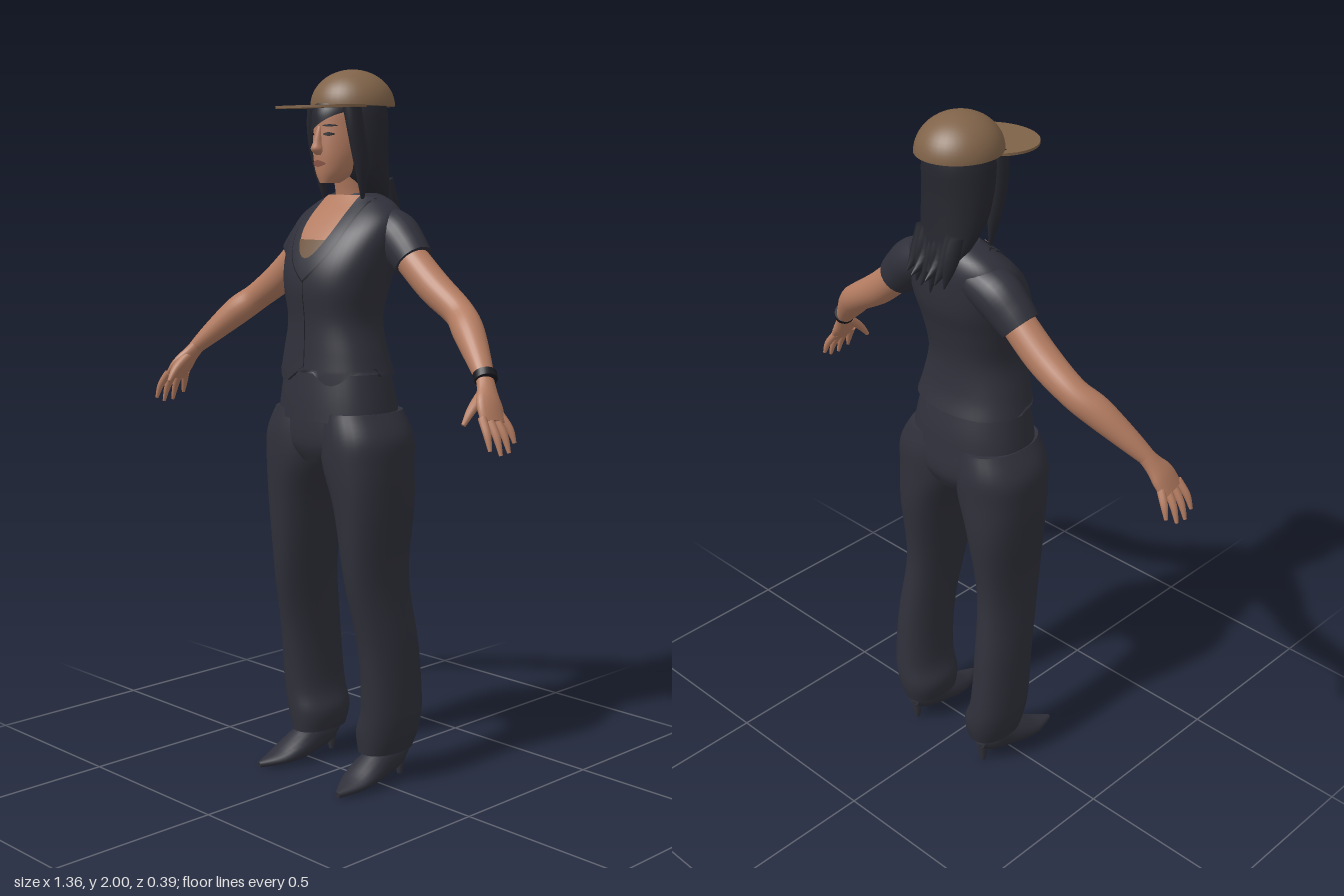
import * as THREE from 'three';

const mat = (name, color, side = THREE.FrontSide) => {
  const m = new THREE.MeshStandardMaterial({ color, side });
  m.name = name;
  return m;
};
const CLOTH = mat('dark cloth', 0x2f303a);
const SEAM = mat('seam black', 0x1a1b21);
const HAIR = mat('black hair', 0x26272f);
const SKIN = mat('skin', 0xb47c61);
const HAT = mat('brown cap', 0x806349);
const UNDER = mat('brown undershirt', 0x6f553f);
const LIPS = mat('lips', 0x8a5546);

// Smooth a short table of rows [x, y, z, r1, r2] into n + 1 rows
function smooth(rows, n) {
  const curves = rows[0].map((_, k) => new THREE.SplineCurve(rows.map(r => new THREE.Vector2(r[k], 0))));
  return Array.from({ length: n + 1 }, (_, i) => curves.map(c => c.getPoint(i / n).x));
}

// Skin elliptical sections; 'flat' keeps them horizontal, otherwise they follow the path
function loft(name, material, rows, { n = 24, seg = 24, flat = false, exp = 2, ref = [0, 0, 1], caps = true } = {}) {
  const R = smooth(rows, n), pos = [], idx = [], rv = new THREE.Vector3(...ref);
  const at = i => new THREE.Vector3().fromArray(R[Math.min(Math.max(i, 0), n)]);
  const pw = v => Math.sign(v) * Math.abs(v) ** (2 / exp);
  const ring = i => {
    const t = flat ? new THREE.Vector3(0, 1, 0) : at(i + 1).sub(at(i - 1)).normalize();
    const u = new THREE.Vector3().crossVectors(t, rv).normalize();
    const v = new THREE.Vector3().crossVectors(u, t);
    for (let j = 0; j < seg; j++) {
      const a = (j / seg) * Math.PI * 2;
      const p = at(i).addScaledVector(u, pw(Math.cos(a)) * R[i][3]).addScaledVector(v, pw(Math.sin(a)) * R[i][4]);
      pos.push(p.x, p.y, p.z);
    }
  };
  for (let i = 0; i <= n; i++) ring(i);
  for (let i = 0; i < n; i++) for (let j = 0; j < seg; j++) {
    const a = i * seg + j, b = i * seg + (j + 1) % seg;
    idx.push(a, a + seg, b, b, a + seg, b + seg);
  }
  if (caps) for (const i of [0, n]) {
    const s = pos.length / 3;
    ring(i);
    pos.push(...R[i].slice(0, 3));
    for (let j = 0; j < seg; j++) {
      const a = s + j, b = s + (j + 1) % seg;
      idx.push(s + seg, ...(i ? [b, a] : [a, b]));
    }
  }
  return finish(name, material, pos, idx);
}

function finish(name, material, pos, idx) {
  const g = new THREE.BufferGeometry();
  g.setAttribute('position', new THREE.Float32BufferAttribute(pos, 3));
  g.setIndex(idx);
  g.computeVertexNormals();
  return named(name, new THREE.Mesh(g, material));
}
function named(name, o) { o.name = name; return o; }

// Thin plate lying on the front of a flat loft, between x = left(t) and right(t)
function patch(name, material, rows, exp, y0, y1, left, right, off) {
  const R = smooth(rows, 60), N = 16, pos = [], idx = [];
  for (let i = 0; i <= N; i++) for (let j = 0; j <= N; j++) {
    const t = i / N, y = y0 + (y1 - y0) * t, x = left(t) + (right(t) - left(t)) * j / N;
    const k = Math.max(1, R.findIndex(r => r[1] >= y)), a = R[k - 1], b = R[k];
    const f = (y - a[1]) / (b[1] - a[1]), mix = c => a[c] + (b[c] - a[c]) * f;
    const q = Math.min(Math.abs(x) / mix(3), 0.98);
    pos.push(x, y, mix(2) + mix(4) * (1 - q ** exp) ** (1 / exp) + off);
    if (i < N && j < N) {
      const p = i * (N + 1) + j, s = p + N + 1;
      idx.push(p, p + 1, s, p + 1, s + 1, s);
    }
  }
  return finish(name, material, pos, idx);
}

const VEST = [[0, 1.17, .012, .174, .13], [0, 1.23, .018, .158, .12], [0, 1.32, .02, .137, .116],
  [0, 1.41, .016, .153, .128], [0, 1.48, 0, .168, .131], [0, 1.55, -.022, .178, .116],
  [0, 1.6, -.043, .17, .095], [0, 1.638, -.058, .13, .07], [0, 1.665, -.06, .07, .048]];
const HEAD = [[0, 1.692, .042, .022, .03], [0, 1.72, .02, .046, .06], [0, 1.76, .004, .062, .08],
  [0, 1.8, -.01, .07, .094], [0, 1.84, -.02, .073, .102], [0, 1.88, -.025, .073, .105], [0, 1.91, -.03, .068, .098]];

function buildTorso(g) {
  g.add(loft('tunic', CLOTH, [[0, 1.045, .008, .186, .137], [0, 1.12, .01, .174, .129], [0, 1.25, .018, .145, .105]],
    { n: 10, seg: 40, flat: true, exp: 2.3 }));
  const vest = loft('vest', CLOTH, VEST, { n: 40, seg: 48, flat: true, exp: 2.3 });
  // Pointed hem at the front of the vest
  const p = vest.geometry.attributes.position;
  for (let i = 0; i < p.count; i++) {
    if (p.getY(i) < 1.175 && p.getZ(i) > .02) p.setY(i, 1.17 + .024 * Math.cos(Math.PI * p.getX(i) / .09));
  }
  vest.geometry.computeVertexNormals();
  g.add(vest);
  // Round neckline: lapel, seam, chest and undershirt
  const u = (w, k = 3) => [t => -w * (1 - (1 - t) ** k), t => w * (1 - (1 - t) ** k)];
  g.add(patch('lapelSeam', SEAM, VEST, 2.3, 1.424, 1.652, ...u(.102), .003));
  g.add(patch('lapel', CLOTH, VEST, 2.3, 1.43, 1.654, ...u(.098), .005));
  g.add(patch('chest', SKIN, VEST, 2.3, 1.49, 1.66, ...u(.064, 4), .008));
  g.add(patch('undershirt', UNDER, VEST, 2.3, 1.49, 1.54, t => -.05 * t ** .5, t => .05 * t ** .5, .0095));
  g.add(patch('vestSeam', SEAM, VEST, 2.3, 1.195, 1.43, () => -.0015, () => .0015, .002));
}

function buildHead(g) {
  g.add(loft('neck', SKIN, [[0, 1.6, -.055, .058, .052], [0, 1.66, -.046, .047, .046], [0, 1.74, -.03, .045, .048]], { n: 8, flat: true }));
  g.add(loft('head', SKIN, HEAD, { n: 28, seg: 36, flat: true }));
  g.add(loft('nose', SKIN, [[0, 1.768, .082, .009, .008], [0, 1.782, .087, .016, .021], [0, 1.803, .083, .011, .018], [0, 1.845, .078, .007, .008]],
    { n: 10, seg: 12, flat: true }));
  g.add(patch('lips', LIPS, HEAD, 2, 1.735, 1.755, t => -.024 * Math.sin(Math.PI * t), t => .024 * Math.sin(Math.PI * t), .004));
  for (const s of [-1, 1]) {
    const lens = (c, w) => [t => s * c - w * Math.sin(Math.PI * t), t => s * c + w * Math.sin(Math.PI * t)];
    g.add(patch('eye', SEAM, HEAD, 2, 1.818, 1.829, ...lens(.031, .014), .003));
    g.add(patch('eyebrow', HAIR, HEAD, 2, 1.843, 1.85, ...lens(.032, .018), .003));
    // Side locks
    g.add(loft('sideLock', HAIR, [[s * .07, 1.9, .025, .02, .03], [s * .08, 1.83, .018, .016, .03],
      [s * .082, 1.74, 0, .015, .024], [s * .076, 1.65, -.01, .003, .006]], { n: 14, seg: 12 }));
  }
  g.add(patch('fringe', HAIR, HEAD, 2, 1.8, 1.905, () => -.073, t => -.069 + .138 * Math.min(1, t * 1.2) ** 1.1, .008));
  g.add(loft('hair', HAIR, [[0, 1.6, -.125, .055, .038], [0, 1.66, -.098, .08, .052], [0, 1.72, -.068, .094, .077],
    [0, 1.8, -.05, .1, .092], [0, 1.87, -.046, .099, .097], [0, 1.91, -.046, .092, .092]], { n: 20, seg: 32, flat: true }));
  // Ragged ends down the back
  for (let i = 0; i < 8; i++) {
    const x = (i - 3.5) * .017, low = 1.535 + .02 * (i % 3) + Math.abs(x) * .5, out = -.155 - .017 * (i % 3);
    g.add(loft('hairEnd', HAIR, [[x, 1.7, -.115, .02, .025], [x + .004, 1.63, -.138, .019, .022], [x + .01, low, out, .002, .002]],
      { n: 8, seg: 8 }));
  }
}

function buildCap(g) {
  const dome = named('capDome', new THREE.Mesh(new THREE.SphereGeometry(1, 40, 14, 0, Math.PI * 2, 0, Math.PI / 2), HAT));
  dome.scale.set(.113, .1, .121);
  dome.position.set(0, 1.9, -.046);
  const base = named('capBase', new THREE.Mesh(new THREE.CylinderGeometry(1, 1, 1, 40), HAT));
  base.scale.set(.111, .006, .119);
  base.position.set(0, 1.903, -.046);
  const visor = named('capVisor', new THREE.Mesh(new THREE.CylinderGeometry(1, 1, 1, 40), HAT));
  visor.scale.set(.127, .007, .12);
  visor.position.set(0, 1.897, .075);
  visor.rotation.x = .03;
  g.add(dome, base, visor);
}

function buildArm(s) {
  const g = named(s > 0 ? 'leftArm' : 'rightArm', new THREE.Group());
  const add = (name, m, rows, o) => g.add(loft(name, m, rows.map(([x, ...r]) => [s * x, ...r]), o));
  add('sleeve', CLOTH, [[.09, 1.58, -.065, .055, .065], [.15, 1.553, -.062, .066, .066], [.195, 1.515, -.058, .063, .06], [.227, 1.484, -.055, .057, .055]], { n: 14 });
  add('armSkin', SKIN, [[.19, 1.515, -.055, .046, .046], [.3, 1.422, -.053, .046, .046], [.4, 1.357, -.046, .041, .041],
    [.46, 1.312, -.018, .042, .042], [.53, 1.247, .02, .032, .033], [.577, 1.2, .047, .022, .025]], { n: 30 });
  add('palm', SKIN, [[.57, 1.208, .043, .021, .024], [.592, 1.178, .058, .02, .029], [.614, 1.145, .074, .019, .042], [.638, 1.105, .085, .012, .043]], { n: 12, seg: 16 });
  // Four fingers and a thumb
  const len = [.85, 1, .97, .75];
  for (let f = 0; f < 4; f++) {
    const z = .119 - f * .023, dz = .014 - f * .01, l = len[f];
    add('finger', SKIN, [[.63, 1.118, z, .011, .012], [.63 + .03 * l, 1.118 - .045 * l, z + dz * .7, .01, .01],
      [.63 + .047 * l, 1.118 - .092 * l, z + dz, .005, .005]], { n: 8, seg: 10 });
  }
  add('thumb', SKIN, [[.592, 1.172, .075, .014, .016], [.594, 1.135, .118, .012, .013], [.592, 1.098, .146, .006, .006]], { n: 8, seg: 10, ref: [1, 0, 0] });
  if (s > 0) add('bracelet', SEAM, [[.568, 1.217, .04, .03, .032], [.58, 1.202, .048, .029, .031]], { n: 2 });
  return g;
}

function buildLeg(s) {
  const g = named(s > 0 ? 'leftLeg' : 'rightLeg', new THREE.Group());
  const add = (name, m, rows, o) => g.add(loft(name, m, rows.map(([x, ...r]) => [s * x, ...r]), o));
  add('trouserLeg', CLOTH, [[.138, .09, -.045, .059, .09], [.143, .15, -.049, .074, .1], [.16, .23, -.047, .066, .101],
    [.16, .4, -.032, .061, .102], [.145, .6, 0, .06, .111], [.135, .8, 0, .085, .13], [.116, .92, .004, .112, .136],
    [.11, 1, .004, .115, .136], [.095, 1.07, .006, .09, .125]], { n: 40, seg: 32, flat: true, exp: 2.2 });
  add('shoe', CLOTH, [[.143, .078, -.115, .022, .025], [.143, .075, -.075, .041, .045], [.145, .062, -.02, .044, .05],
    [.148, .04, .045, .052, .036], [.155, .022, .105, .042, .02], [.165, .011, .172, .008, .009]], { n: 20, seg: 20, ref: [0, 1, 0] });
  const heel = named('shoeHeel', new THREE.Mesh(new THREE.CylinderGeometry(.02, .008, .07, 12), CLOTH));
  heel.position.set(s * .143, .035, -.1);
  g.add(heel);
  return g;
}

export function createModel() {
  const model = named('woman', new THREE.Group());
  const torso = named('torso', new THREE.Group());
  const head = named('headGroup', new THREE.Group());
  const cap = named('cap', new THREE.Group());
  buildTorso(torso);
  buildHead(head);
  buildCap(cap);
  // Trouser seat joining the legs
  torso.add(loft('trouserSeat', CLOTH, [[0, .925, .003, .1, .11], [0, .98, .004, .19, .132], [0, 1.08, .008, .172, .126]],
    { n: 10, seg: 40, flat: true, exp: 2.3 }));
  model.add(torso, head, cap);
  for (const s of [1, -1]) model.add(buildArm(s), buildLeg(s));
  return model;
}
